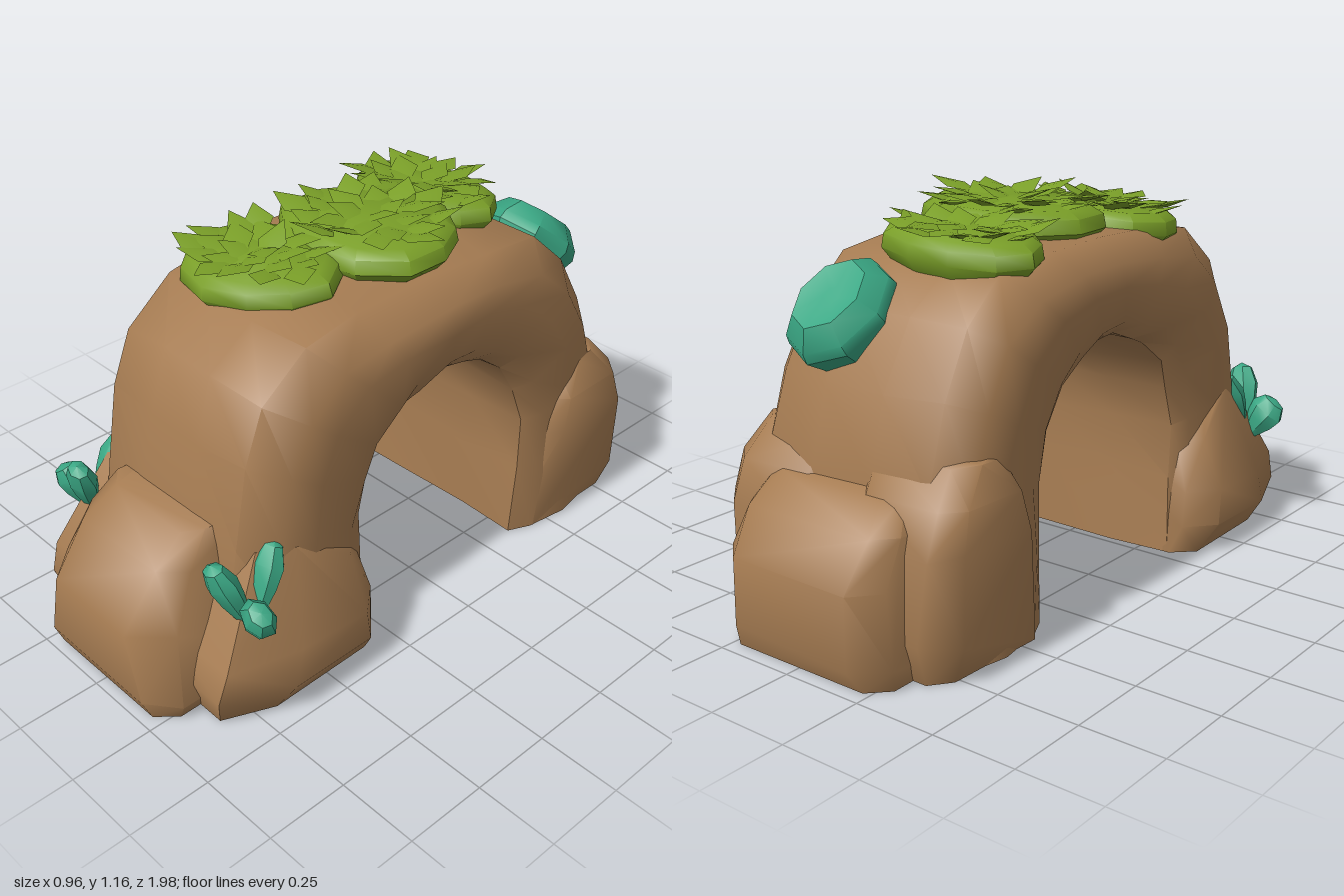
import * as THREE from 'three';
import { toCreasedNormals, mergeGeometries } from 'three/addons/utils/BufferGeometryUtils.js';
import { ConvexGeometry } from 'three/addons/geometries/ConvexGeometry.js';

const material = (name, color) => Object.assign(new THREE.MeshStandardMaterial({ color }), { name });

export function createModel() {
  const group = new THREE.Group();
  const rock = material('brown rock', 0xa67c52);
  const moss = material('green moss', 0x7a9f28);
  const teal = material('teal crystal', 0x3aa784);

  // Small seeded generator, -1 to 1
  let seed = 11;
  const rand = () => {
    seed = (seed * 16807) % 2147483647;
    return (seed / 2147483647) * 2 - 1;
  };
  const add = (name, geometry, mat, crease = 0.6) => {
    const mesh = new THREE.Mesh(toCreasedNormals(geometry, crease), mat);
    mesh.name = name;
    group.add(mesh);
    return mesh;
  };

  // Arch: inner [z, y] and outer [z, y] at each station, front foot to back foot
  const stations = [
    [0.28, 0.01, 0.74, 0.01], [0.29, 0.25, 0.74, 0.3], [0.3, 0.42, 0.71, 0.5],
    [0.27, 0.55, 0.67, 0.73], [0.22, 0.64, 0.6, 0.9], [0.13, 0.71, 0.46, 1.01],
    [0.07, 0.745, 0.25, 1.04], [-0.02, 0.77, -0.02, 1.05], [-0.1, 0.76, -0.25, 1.05],
    [-0.17, 0.73, -0.47, 1.01], [-0.26, 0.67, -0.61, 0.9], [-0.33, 0.57, -0.71, 0.72],
    [-0.38, 0.43, -0.78, 0.5], [-0.37, 0.25, -0.78, 0.3], [-0.36, 0.01, -0.78, 0.01],
  ];
  // Cross-section [x, share of the way from inner to outer]
  const half = [[0.13, 0], [0.34, 0.01], [0.375, 0.15], [0.385, 0.5], [0.37, 0.74], [0.285, 0.97], [0.1, 1]];
  const section = [...half, ...half.map(([x, t]) => [-x, t]).reverse()];
  const n = section.length;
  const points = [], index = [];
  stations.forEach(([zi, yi, zo, yo], i) => {
    const end = i === 0 || i === stations.length - 1;
    section.forEach(([x, t]) => {
      const k = 0.009;
      points.push(x + rand() * k, yi + (yo - yi) * t + (end ? 0 : rand() * k), zi + (zo - zi) * t + rand() * k);
    });
    if (i === 0) return;
    for (let j = 0; j < n; j++) {
      const a = (i - 1) * n + j, b = (i - 1) * n + (j + 1) % n;
      index.push(a, a + n, b + n, a, b + n, b);
    }
  });
  const last = (stations.length - 1) * n;
  for (let j = 1; j < n - 1; j++) index.push(0, j, j + 1, last, last + j + 1, last + j);
  const arch = new THREE.BufferGeometry();
  arch.setAttribute('position', new THREE.Float32BufferAttribute(points, 3));
  arch.setIndex(index);
  add('arch', arch, rock, 0.9);

  // Boulder from stacked octagons: [y, x0, x1, z0, z1, corner cut]; front stretches the cut along z
  const boulder = (name, rows, side = 1, front = 1) => {
    const pts = [];
    rows.forEach(([y, x0, x1, z0, z1, c], r) => {
      const zf = z1 - c * front;
      [[x0 + c, z0], [x1 - c, z0], [x1, z0 + c], [x1, zf], [x1 - c, z1], [x0 + c, z1], [x0, zf], [x0, z0 + c]]
        .forEach(([x, z]) => pts.push(new THREE.Vector3(
          side * x + rand() * 0.008, r ? y + rand() * 0.01 : y, z + rand() * 0.006)));
    });
    add(name, new ConvexGeometry(pts), rock, 0.9);
  };
  boulder('frontBoulder', [
    [0.01, -0.27, 0.27, 0.4, 0.96, 0.06], [0.07, -0.29, 0.29, 0.4, 0.99, 0.08],
    [0.29, -0.26, 0.26, 0.45, 0.99, 0.1], [0.44, -0.23, 0.23, 0.5, 0.88, 0.07], [0.52, -0.19, 0.2, 0.55, 0.78, 0.05],
  ]);
  boulder('backBoulder', [
    [0.01, -0.28, 0.28, -0.95, -0.45, 0.05], [0.08, -0.29, 0.29, -0.99, -0.45, 0.08],
    [0.28, -0.28, 0.28, -0.99, -0.5, 0.08], [0.4, -0.27, 0.27, -0.91, -0.55, 0.06], [0.48, -0.22, 0.24, -0.81, -0.6, 0.05],
  ]);
  for (const side of [1, -1]) {
    boulder('frontSideBoulder', [
      [0.01, 0.05, 0.41, 0.29, 0.84, 0.06], [0.11, 0.05, 0.47, 0.3, 0.87, 0.08],
      [0.21, 0.05, 0.47, 0.31, 0.84, 0.08], [0.36, 0.05, 0.4, 0.33, 0.72, 0.06], [0.48, 0.05, 0.37, 0.5, 0.67, 0.04],
    ], side, 2.6);
    boulder('backSideBoulder', [
      [0.01, 0.05, 0.38, -0.83, -0.38, 0.06], [0.12, 0.05, 0.41, -0.86, -0.41, 0.08],
      [0.36, 0.05, 0.42, -0.84, -0.44, 0.07], [0.47, 0.05, 0.41, -0.8, -0.48, 0.06], [0.57, 0.05, 0.38, -0.72, -0.55, 0.05],
    ], side);
  }

  // Moss: flat rounded pads covered with broad pointed leaves
  const pads = [
    { at: [-0.08, 1.005, 0.28], rx: 0.265, rz: 0.2, tx: 0.07, tz: 0.06 },
    { at: [0.02, 1.045, -0.04], rx: 0.29, rz: 0.24, tx: 0, tz: 0.03 },
    { at: [-0.08, 1.015, -0.36], rx: 0.26, rz: 0.17, tx: -0.06, tz: 0.05 },
  ];
  const padProfile = [[0, -0.03], [0.84, -0.02], [0.98, 0.02], [0.95, 0.06], [0.82, 0.08], [0, 0.085]]
    .map(([x, y]) => new THREE.Vector2(x, y));
  for (const { at, rx, rz, tx, tz } of pads) {
    const place = new THREE.Group();
    place.name = 'mossClump';
    place.position.set(...at);
    place.rotation.set(tx, 0, tz);
    const pad = new THREE.LatheGeometry(padProfile, 11);
    const pos = pad.attributes.position;
    for (let i = 0; i < pos.count; i++) {
      const a = Math.atan2(pos.getZ(i), pos.getX(i));
      const s = 1 + 0.05 * Math.sin(3 * a + at[2] * 9);
      pos.setXYZ(i, pos.getX(i) * rx * s, pos.getY(i), pos.getZ(i) * rz * s);
    }
    const padMesh = add('mossPad', pad, moss, 0.9);
    const leaves = [];
    const dummy = new THREE.Object3D();
    dummy.rotation.order = 'YXZ';
    for (let i = 0; i < 24; i++) {
      const a = i * 2.4, r = 0.82 * Math.sqrt((i + 0.5) / 24);
      const x = Math.cos(a) * r * rx, z = Math.sin(a) * r * rz;
      dummy.position.set(x, 0.088 + 0.008 * rand(), z);
      dummy.rotation.set(-0.22 + 0.15 * rand(), Math.atan2(x, z) + 0.6 * rand(), 0.15 * rand());
      dummy.updateMatrix();
      leaves.push(new THREE.OctahedronGeometry(1).scale(0.045, 0.008, 0.08 + 0.015 * rand()).applyMatrix4(dummy.matrix));
    }
    place.add(padMesh, add('mossLeaves', mergeGeometries(leaves), moss, 0.5));
    group.add(place);
  }

  // Crystal sprouts: three blades on each front foot
  const bladeProfile = [[0, 0], [0.45, 0.2], [0.85, 0.5], [1, 0.72], [0.65, 0.93], [0, 1]]
    .map(([x, y]) => new THREE.Vector2(x, y));
  const up = new THREE.Vector3(0, 1, 0);
  const blades = [[0.335, 0.515, 0.61, 0.055], [0.455, 0.415, 0.76, 0.06], [0.3, 0.505, 0.8, 0.055]];
  for (const side of [1, -1]) {
    for (const [x, y, z, w] of blades) {
      const base = new THREE.Vector3(side * 0.365, 0.275, 0.72);
      const dir = new THREE.Vector3(side * x, y, z).sub(base);
      const blade = new THREE.LatheGeometry(bladeProfile, 7).scale(w, dir.length(), w * 0.75);
      const mesh = add('crystalBlade', blade, teal, 0.7);
      mesh.position.copy(base);
      mesh.quaternion.setFromUnitVectors(up, dir.normalize());
    }
  }

  // Crystal block with a dished top on the back slope
  const blockProfile = [[0, -0.09], [0.14, -0.08], [0.178, 0], [0.17, 0.03], [0.12, 0.08], [0.03, 0.068], [0, 0.074]]
    .map(([x, y]) => new THREE.Vector2(x, y));
  const block = add('crystalBlock', new THREE.LatheGeometry(blockProfile, 8).scale(0.85, 1, 1), teal, 0.6);
  block.position.set(0.115, 0.885, -0.635);
  block.quaternion.setFromUnitVectors(up, new THREE.Vector3(0, 0.77, -0.64).normalize());

  return group;
}
